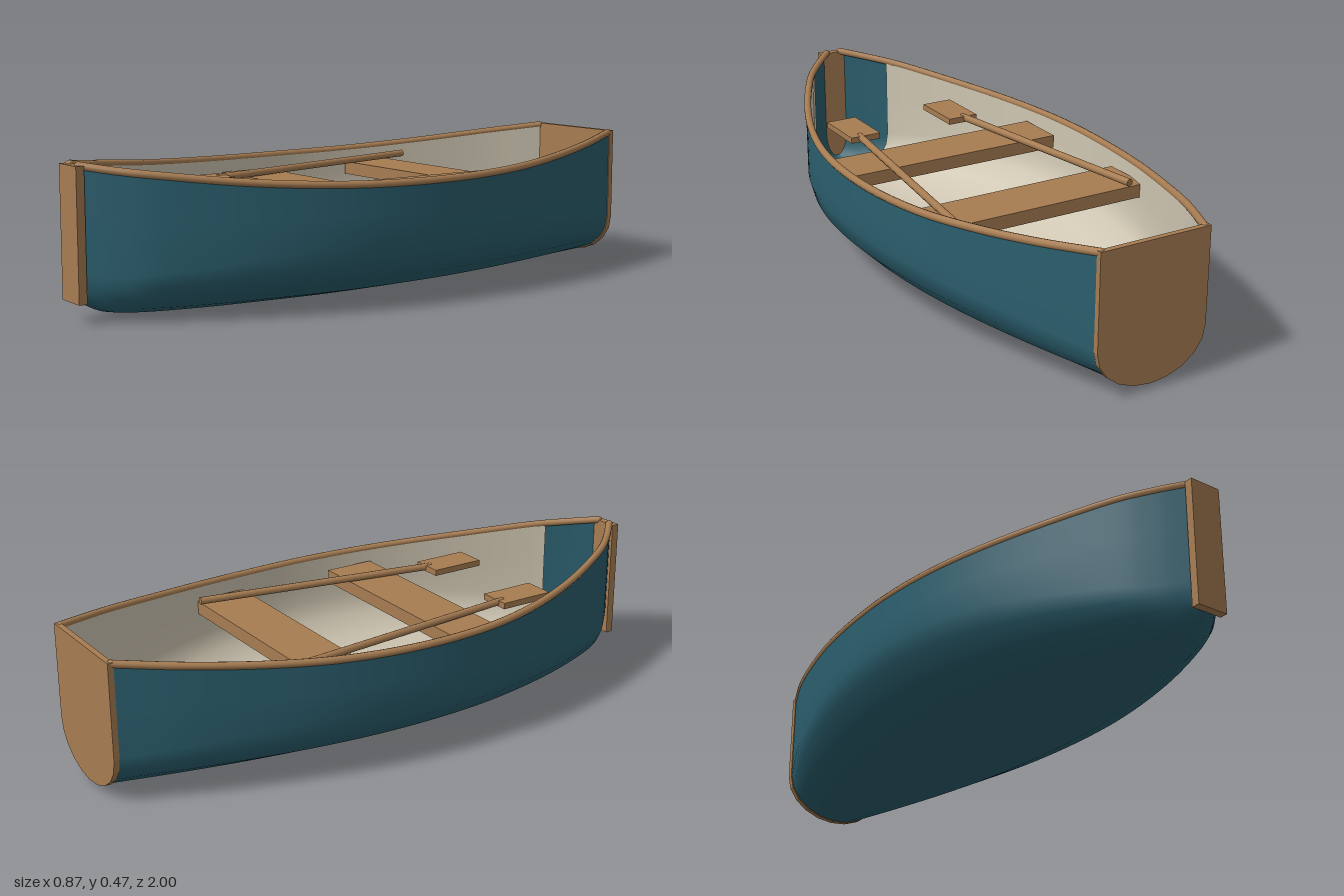
import * as THREE from 'three';

// hull stations from stern to bow: z, half width, rim height, keel height
const STATIONS = [
  [-0.985, 0.18, 0.445, 0.02], [-0.8, 0.265, 0.425, 0.016], [-0.6, 0.335, 0.405, 0.01],
  [-0.4, 0.389, 0.39, 0.005], [-0.2, 0.42, 0.382, 0.001], [0, 0.43, 0.38, 0],
  [0.2, 0.414, 0.382, 0], [0.4, 0.367, 0.39, 0.002], [0.6, 0.29, 0.405, 0.004],
  [0.8, 0.186, 0.428, 0.01], [0.9, 0.112, 0.441, 0.022], [0.98, 0.035, 0.455, 0.06],
];
const LAST = STATIONS.length - 1;
const curveOf = (i, j) => new THREE.CatmullRomCurve3(
  STATIONS.map((s) => new THREE.Vector3(s[i], s[j], s[0])), false, 'catmullrom', 0.5);
const rimCurve = curveOf(1, 2);
const keelCurve = curveOf(1, 3);

// smooth station at fractional index s
function station(s) {
  const r = rimCurve.getPoint(s / LAST);
  return { z: r.z, w: r.x, rim: r.y, keel: keelCurve.getPoint(s / LAST).y };
}

// cross-section: straight sides over an elliptical bottom, from +x rim to -x rim
function section(w, rim, keel, turn) {
  const pts = [[w, rim], [w, (rim + keel + turn) / 2]];
  for (let i = 0; i <= 10; i++) {
    const a = (i / 10 - 0.5) * Math.PI;
    pts.push([-w * Math.sin(a), keel + turn * (1 - Math.cos(a))]);
  }
  pts.push([-w, (rim + keel + turn) / 2], [-w, rim]);
  return pts;
}
const turnOf = (w) => 0.08 + 0.315 * w;

// loft the cross-sections between two station indices
function loft(s0, s1, rows, inset) {
  const pos = [], index = [];
  let cols = 0;
  for (let r = 0; r <= rows; r++) {
    const { z, w, rim, keel } = station(s0 + (s1 - s0) * r / rows);
    const pts = section(w - inset, rim, keel + inset, turnOf(w));
    cols = pts.length;
    for (const [x, y] of pts) pos.push(x, y, z);
  }
  for (let r = 0; r < rows; r++) {
    for (let c = 0; c < cols - 1; c++) {
      const a = r * cols + c, b = a + cols;
      index.push(a, b, a + 1, b, b + 1, a + 1);
    }
  }
  const geo = new THREE.BufferGeometry();
  geo.setAttribute('position', new THREE.Float32BufferAttribute(pos, 3));
  geo.setIndex(index);
  geo.computeVertexNormals();
  return geo;
}

export function createModel() {
  const boat = new THREE.Group();
  boat.name = 'rowingBoat';
  const material = (name, color, side = THREE.FrontSide) => {
    const m = new THREE.MeshStandardMaterial({ color, side });
    m.name = name;
    return m;
  };
  const paint = material('tealPaint', 0x2b5f6e, THREE.DoubleSide);
  const cream = material('creamLining', 0xcfc6b2, THREE.DoubleSide);
  const wood = material('wood', 0xa67c52);

  const add = (name, geo, mat, parent = boat) => {
    const mesh = new THREE.Mesh(geo, mat);
    mesh.name = name;
    parent.add(mesh);
    return mesh;
  };
  // box given by its minimum and maximum corners
  const box = (name, x0, x1, y0, y1, z0, z1, parent = boat) => {
    const m = add(name, new THREE.BoxGeometry(x1 - x0, y1 - y0, z1 - z0), wood, parent);
    m.position.set((x0 + x1) / 2, (y0 + y1) / 2, (z0 + z1) / 2);
    return m;
  };

  // outer shell and inner lining, which stops short of the bow
  add('hull', loft(0, LAST, 66, 0), paint);
  add('lining', loft(0.03, 9.3, 54, 0.018), cream);

  // transom follows the stern section
  const stern = section(0.184, 0.456, 0.017, turnOf(0.18));
  const outline = new THREE.Shape(stern.map(([x, y]) => new THREE.Vector2(x, y)));
  add('transom', new THREE.ExtrudeGeometry(outline, { depth: 0.018, bevelEnabled: false }), wood)
    .position.z = -1;

  // stem post
  box('stem', -0.053, 0.053, 0.06, 0.46, 0.974, 1);

  // gunwales with rounded ends
  for (const side of [1, -1]) {
    const gunwale = new THREE.Group();
    gunwale.name = side > 0 ? 'leftGunwale' : 'rightGunwale';
    boat.add(gunwale);
    const path = new THREE.CatmullRomCurve3(STATIONS.map(([z, w, rim]) =>
      new THREE.Vector3(side * (w - 0.007), rim + 0.004, z)), false, 'catmullrom', 0.5);
    add('rail', new THREE.TubeGeometry(path, 64, 0.012, 10), wood, gunwale);
    for (const t of [0, 1]) {
      add('railEnd', new THREE.SphereGeometry(0.012, 10, 8), wood, gunwale)
        .position.copy(path.getPoint(t));
    }
  }

  // seats and floorboard
  box('rearSeat', -0.38, 0.38, 0.302, 0.345, -0.43, -0.255);
  box('frontSeat', -0.38, 0.38, 0.302, 0.345, 0.08, 0.25);
  box('floorboard', -0.135, 0.135, 0.02, 0.042, -0.33, 0.33);

  // oars resting across the seats
  for (const side of [1, -1]) {
    const oar = new THREE.Group();
    oar.name = side > 0 ? 'leftOar' : 'rightOar';
    boat.add(oar);
    const grip = new THREE.Vector3(side * 0.31, 0.368, -0.45);
    const neck = new THREE.Vector3(side * 0.198, 0.355, 0.38);
    const dir = neck.clone().sub(grip);
    const shaft = add('shaft', new THREE.CylinderGeometry(0.012, 0.012, dir.length(), 10), wood, oar);
    shaft.position.copy(grip).add(neck).multiplyScalar(0.5);
    shaft.quaternion.setFromUnitVectors(new THREE.Vector3(0, 1, 0), dir.normalize());
    const x = side * 0.187;
    box('blade', x - 0.053, x + 0.053, 0.343, 0.363, 0.355, 0.54, oar);
  }
  return boat;
}
